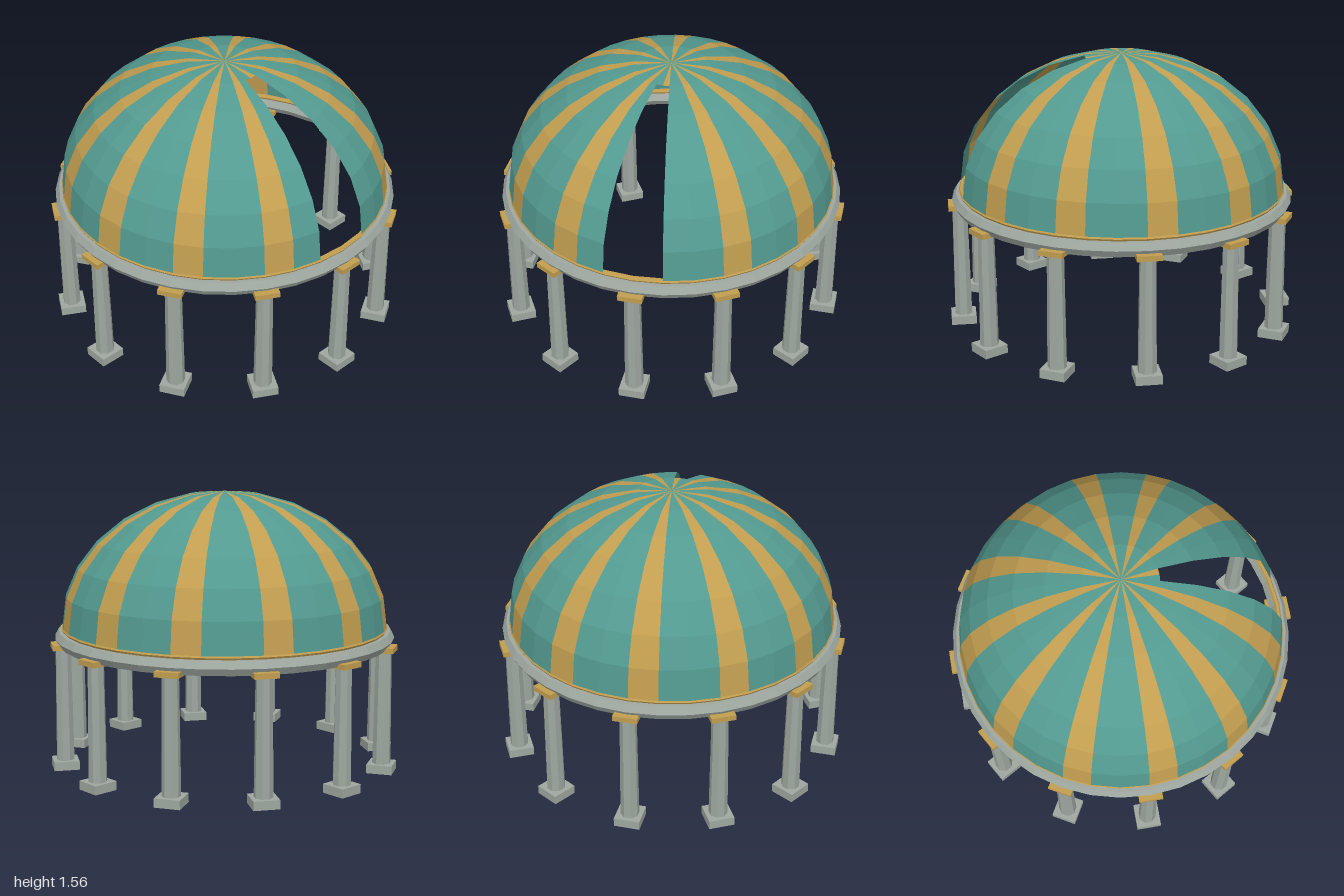
import * as THREE from 'three';
import { mergeGeometries } from 'three/addons/utils/BufferGeometryUtils.js';

const STEP = Math.PI / 18; // one 10 degree dome gore

function material(name, color, side = THREE.FrontSide) {
  const m = new THREE.MeshStandardMaterial({ color, flatShading: true, side });
  m.name = name;
  return m;
}

export function createModel() {
  const teal = material('teal', 0x539a90, THREE.DoubleSide);
  const gold = material('gold', 0xc29e50, THREE.DoubleSide);
  const stone = material('stone', 0x9ea7a0);
  const model = new THREE.Group();
  model.name = 'domedPavilion';

  const add = (parent, name, geometry, mat, y = 0) => {
    const mesh = new THREE.Mesh(geometry, mat);
    mesh.name = name;
    mesh.position.y = y;
    parent.add(mesh);
    return mesh;
  };

  // Dome profile from apex to rim, in seven rings
  const profile = [];
  for (let i = 0; i <= 7; i++) {
    const a = (i / 7) * Math.PI / 2;
    const y = i === 7 ? 0.79 : 0.806 + 0.752 * Math.cos(a);
    profile.push(new THREE.Vector2(0.927 * Math.sin(a), y));
  }

  // Gores: every third one is gold; the two at the front keep only their tips
  const gores = { teal: [], gold: [] };
  for (let k = 0; k < 36; k++) {
    const open = k === 0 || k === 35;
    const points = open ? profile.slice(0, 2) : profile;
    const gore = new THREE.LatheGeometry(points, 1, k * STEP, STEP);
    gores[k % 3 === 0 ? 'gold' : 'teal'].push(gore);
  }
  add(model, 'domePanels', mergeGeometries(gores.teal), teal);
  add(model, 'domeStripes', mergeGeometries(gores.gold), gold);

  // Stone ring beam and the thin gold trim at the foot of the dome
  const ring = (r, tube) => new THREE.TorusGeometry(r, tube, 6, 36).rotateX(Math.PI / 2);
  add(model, 'ringBeam', ring(0.925, 0.045), stone, 0.74);
  add(model, 'rimTrim', ring(0.916, 0.015), gold, 0.79);

  // Twelve columns around the ring
  const base = new THREE.BoxGeometry(0.143, 0.05, 0.143);
  const shaft = new THREE.CylinderGeometry(0.045, 0.052, 0.65, 8).rotateY(Math.PI / 8);
  const capital = new THREE.BoxGeometry(0.134, 0.03, 0.13);
  for (let i = 0; i < 12; i++) {
    const a = i * Math.PI / 6;
    const column = new THREE.Group();
    column.name = 'column';
    column.position.set(0.928 * Math.sin(a), 0, 0.928 * Math.cos(a));
    column.rotation.y = a;
    add(column, 'columnBase', base, stone, 0.025);
    add(column, 'columnShaft', shaft, stone, 0.375);
    add(column, 'columnCapital', capital, gold, 0.706);
    model.add(column);
  }
  return model;
}
